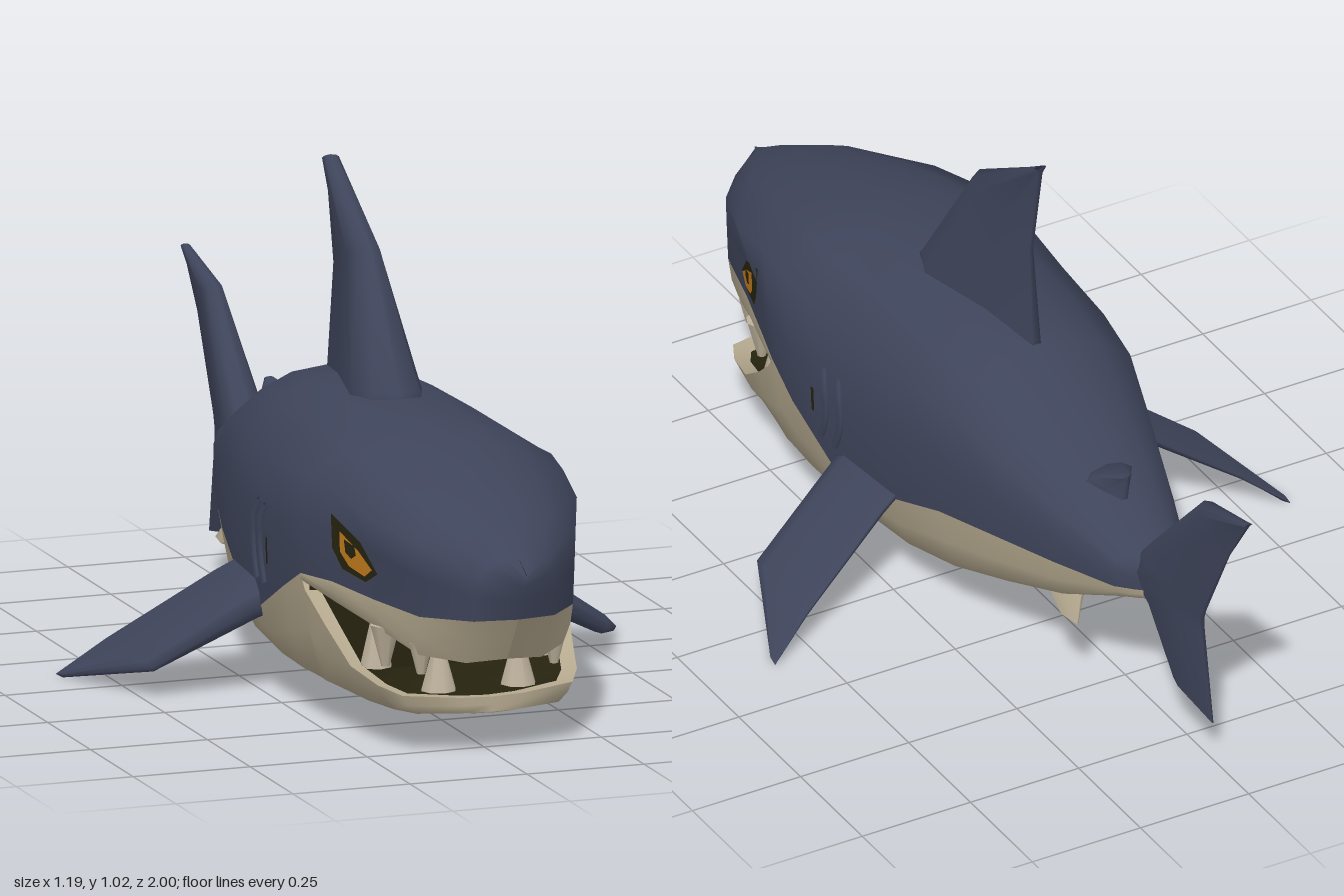
import * as THREE from 'three';
import { mergeVertices } from 'three/addons/utils/BufferGeometryUtils.js';

const mat = (name, color) => new THREE.MeshStandardMaterial({ name, color, side: THREE.DoubleSide });

// Skin through rows of points; flip reverses the facing
function loft(rows, { closed = false, flip = false } = {}) {
  const n = rows[0].length, index = [];
  for (let r = 0; r < rows.length - 1; r++) {
    for (let c = 0; c < (closed ? n : n - 1); c++) {
      const a = r * n + c, b = r * n + (c + 1) % n, d = a + n, e = b + n;
      index.push(...(flip ? [a, b, d, b, e, d] : [a, d, b, b, d, e]));
    }
  }
  const g = new THREE.BufferGeometry();
  g.setAttribute('position', new THREE.Float32BufferAttribute(rows.flat(2), 3));
  g.setIndex(index);
  const merged = mergeVertices(g, 1e-4);
  merged.computeVertexNormals();
  return merged;
}

// Complete a half row (centre line to left edge) with its mirror image
const both = half => [...half.slice(1).reverse().map(([x, y, z]) => [-x, y, z]), ...half];

// Back sections from tail to nose: half width, top z, top y, colour line z, colour line y, cheek pinch
const BACK = [
  [0.02, -0.68, 0.345, -0.68, 0.31, 1], [0.055, -0.63, 0.372, -0.63, 0.30, 1],
  [0.085, -0.6, 0.382, -0.6, 0.30, 1], [0.14, -0.45, 0.445, -0.45, 0.29, 1],
  [0.19, -0.3, 0.515, -0.3, 0.282, 1], [0.235, -0.15, 0.592, -0.15, 0.27, 1],
  [0.262, 0, 0.615, 0, 0.225, 1], [0.282, 0.2, 0.617, 0.2, 0.195, 1],
  [0.29, 0.35, 0.605, 0.35, 0.268, 1], [0.285, 0.44, 0.596, 0.44, 0.315, 1],
  [0.265, 0.54, 0.582, 0.54, 0.318, 0.96], [0.235, 0.67, 0.55, 0.67, 0.305, 0.89],
  [0.18, 0.82, 0.505, 0.82, 0.3, 0.93], [0.088, 0.945, 0.442, 0.925, 0.307, 1],
  [0, 1, 0.412, 0.95, 0.31, 1],
];
// Cross-section of the back; pinching draws the cheek in below the brow
const backProfile = p => [[0, 0], [0.35, 0.03], [0.62, 0.12], [0.9 + 0.6 * (1 - p), 0.28], [p, 0.6], [0.98 * p, 1]];
const BELLY_PROFILE = [[0, 1], [0.5, 0.985], [0.82, 0.93], [0.92, 0.5], [0.98, 0]];

const BELLY_BOTTOM = [0.29, 0.275, 0.27, 0.2, 0.155, 0.115, 0.092, 0.085, 0.082, 0.08];
// Upper lip edge from mouth corner to nose: z, y
const LIP = [[0.44, 0.29], [0.54, 0.27], [0.67, 0.242], [0.79, 0.214], [0.865, 0.208], [0.885, 0.215]];
// Lower jaw: half width, z, rim y, bottom y, inner z
const JAW = [
  [0.283, 0.46, 0.285, 0.08, 0.46], [0.264, 0.53, 0.225, 0.08, 0.53],
  [0.243, 0.62, 0.16, 0.08, 0.61], [0.217, 0.71, 0.138, 0.082, 0.69],
  [0.185, 0.77, 0.127, 0.085, 0.735], [0.07, 0.797, 0.12, 0.085, 0.762], [0, 0.8, 0.118, 0.085, 0.765],
];

// Half width of the back at a given z and y
function skinX(z, y) {
  const i = BACK.findIndex((s, k) => k > 0 && s[1] >= z);
  const t = (z - BACK[i - 1][1]) / (BACK[i][1] - BACK[i - 1][1]);
  const [w, , top, , line, pinch] = BACK[i].map((v, k) => THREE.MathUtils.lerp(BACK[i - 1][k], v, t));
  const profile = backProfile(pinch);
  const f = THREE.MathUtils.clamp((top - y) / (top - line), 0.001, 1);
  const j = profile.findIndex(p => p[1] >= f);
  const [a, b] = [profile[j - 1], profile[j]];
  return w * THREE.MathUtils.lerp(a[0], b[0], (f - a[1]) / (b[1] - a[1]));
}

// Thin painted patch lying on the skin, outline in z and y
function patch(outline, lift) {
  const n = outline.length;
  const centre = [0, 1].map(k => outline.reduce((s, p) => s + p[k], 0) / n);
  const place = ([z, y]) => [skinX(z, y) + lift, y, z];
  return loft([outline.map(place), outline.map(() => place(centre))], { closed: true });
}

// Tapered fin through sections of leading point, trailing point and half thickness
const FOIL = [[0, 0], [0.06, 0.65], [0.22, 1], [0.6, 0.58], [1, 0.12],
  [1, -0.12], [0.6, -0.58], [0.22, -1], [0.06, -0.65]];
function fin(sections, normal) {
  const rows = sections.map(([lead, trail, t]) =>
    FOIL.map(([u, v]) => lead.map((p, k) => p + (trail[k] - p) * u + normal[k] * t * v)));
  const cap = ([lead, trail]) => FOIL.map(() => lead.map((p, k) => (p + trail[k]) / 2));
  return loft([cap(sections[0]), ...rows, cap(sections.at(-1))], { closed: true });
}
// Upright fin on the centre line: leading y, z, trailing y, z, half thickness
const uprightFin = list => fin(list.map(([ly, lz, ty, tz, t]) => [[0, ly, lz], [0, ty, tz], t]), [-1, 0, 0]);

export function createModel() {
  const model = new THREE.Group();
  model.name = 'shark';
  const blue = mat('slateBlue', 0x3e445a), cream = mat('bellyCream', 0xb5a98f);
  const dark = mat('mouthDark', 0x26230f), orange = mat('eyeOrange', 0xc07a1a);
  const ivory = mat('toothIvory', 0xbdb19c);

  const add = (name, geometry, material) => {
    const mesh = new THREE.Mesh(geometry, material);
    mesh.name = name;
    model.add(mesh);
    return mesh;
  };
  const pair = (name, geometry, material) => {
    add(name + 'Left', geometry, material);
    add(name + 'Right', geometry, material).scale.x = -1;
  };

  // Back and head
  add('back', loft(BACK.map(([w, zt, top, zl, line, pinch]) => both(backProfile(pinch).map(([u, f]) =>
    [u * w, top + (line - top) * f, zt + (zl - zt) * f])))), blue);

  // Belly running on into the lower jaw
  const belly = [...BELLY_BOTTOM.map((b, i) => [BACK[i][0], BACK[i][3], BACK[i][4], b]), ...JAW];
  add('bellyAndJaw', loft(belly.map(([w, z, top, bottom]) => both(BELLY_PROFILE.map(([u, f]) =>
    [u * w, top + (bottom - top) * f, z]))), { flip: true }), cream);

  // Upper lip, palate, jaw rim and mouth floor
  const head = BACK.slice(9).map(([w, , , zl, line, pinch], i) => [w * pinch, zl, line, ...LIP[i]]);
  pair('upperLip', loft(head.map(([w, zl, line, z, y]) => [
    [0.92 * w, y, z], [0.98 * w, (line + y) / 2, (zl + z) / 2], [0.98 * w, line, zl]]), { flip: true }), cream);
  add('palate', loft(head.map(([w, , , z, y]) =>
    both([[0, y + 0.06, z], [0.6 * w, y + 0.05, z], [0.92 * w, y, z]])), { flip: true }), dark);
  pair('jawRim', loft(JAW.map(([w, z, rim, , zi]) =>
    [[0.86 * w, rim - 0.004, zi], [0.98 * w, rim, z]])), cream);
  add('mouthFloor', loft(JAW.map(([w, , rim, , zi]) =>
    both([[0, 0.108, zi], [0.6 * w, 0.108, zi], [0.86 * w, rim - 0.004, zi]]))), dark);
  const throat = new THREE.Shape([[-0.2, 0.1], [0.2, 0.1], [0.255, 0.2], [0.265, 0.3], [0, 0.36],
    [-0.265, 0.3], [-0.255, 0.2]].map(p => new THREE.Vector2(...p)));
  add('throat', new THREE.ShapeGeometry(throat).translate(0, 0, 0.45), dark);

  // Teeth: x, base y, z, height (negative hangs down), radius
  [[0.085, 0.12, 0.715, 0.1, 0.037], [0.175, 0.15, 0.595, 0.105, 0.034],
    [0.142, 0.235, 0.77, -0.065, 0.026], [0.178, 0.25, 0.66, -0.085, 0.032],
  ].forEach(([x, y, z, h, r], i) => {
    const g = new THREE.CylinderGeometry(0.009, r, Math.abs(h), 8);
    if (h < 0) g.rotateX(Math.PI);
    pair('tooth' + (i + 1), g.translate(x, y + h / 2, z), ivory);
  });

  // Eyes: dark socket, slanted iris, pupil
  pair('eyeSocket', patch([[0.545, 0.46], [0.552, 0.39], [0.58, 0.352], [0.65, 0.338],
    [0.69, 0.362], [0.64, 0.418]], 0.004), dark);
  pair('iris', patch([[0.58, 0.43], [0.579, 0.388], [0.605, 0.362], [0.652, 0.35],
    [0.676, 0.368], [0.635, 0.4]], 0.007), orange);
  pair('pupil', patch([[0.597, 0.417], [0.6, 0.39], [0.617, 0.38], [0.632, 0.39], [0.628, 0.408]], 0.01), dark);

  // Gills: two raised folds and a dark slit
  for (const z of [0.165, 0.215]) {
    const path = [[0.02, 0.41], [0.004, 0.37], [0, 0.33], [0.006, 0.29], [0.022, 0.25]]
      .map(([dz, y]) => new THREE.Vector3(skinX(z + dz, y), y, z + dz));
    pair('gillFold', new THREE.TubeGeometry(new THREE.CatmullRomCurve3(path), 12, 0.009, 6), blue);
  }
  pair('gillSlit', patch([[0.258, 0.35], [0.258, 0.295], [0.268, 0.295], [0.268, 0.35]], 0.004), dark);

  // Fins on the centre line
  add('dorsalFin', uprightFin([[0.53, 0.33, 0.53, -0.15, 0.095], [0.62, 0.26, 0.6, -0.142, 0.075],
    [0.88, 0.09, 0.81, -0.12, 0.036], [1.024, -0.15, 1.0, -0.147, 0.018]]), blue);
  add('rearDorsalFin', uprightFin([[0.4, -0.36, 0.38, -0.5, 0.1], [0.466, -0.425, 0.425, -0.5, 0.045],
    [0.486, -0.508, 0.475, -0.508, 0.01]]), blue);
  add('tailFin', uprightFin([[0.12, -0.7, 0.09, -0.855, 0.012], [0.27, -0.61, 0.29, -0.815, 0.035],
    [0.33, -0.57, 0.315, -0.81, 0.052], [0.385, -0.61, 0.34, -0.82, 0.044],
    [0.605, -0.82, 0.53, -0.92, 0.024], [0.65, -1, 0.635, -0.99, 0.01]]), blue);

  // Paired fins
  pair('pectoralFin', fin([[[0.2, 0.225, 0.225], [0.2, 0.265, 0], 0.045], [[0.29, 0.182, 0.195], [0.29, 0.215, -0.025], 0.036],
    [[0.485, 0.068, 0.14], [0.5, 0.078, -0.09], 0.02], [[0.59, 0.008, -0.1], [0.595, 0.006, -0.125], 0.006]],
  [0.57, 0.82, 0]), blue);
  pair('pelvicFin', fin([[[0.07, 0.23, -0.33], [0.07, 0.25, -0.48], 0.035], [[0.092, 0.185, -0.375], [0.092, 0.21, -0.485], 0.025],
    [[0.112, 0.163, -0.44], [0.114, 0.165, -0.507], 0.01]], [1, 0, 0]), cream);

  return model;
}
